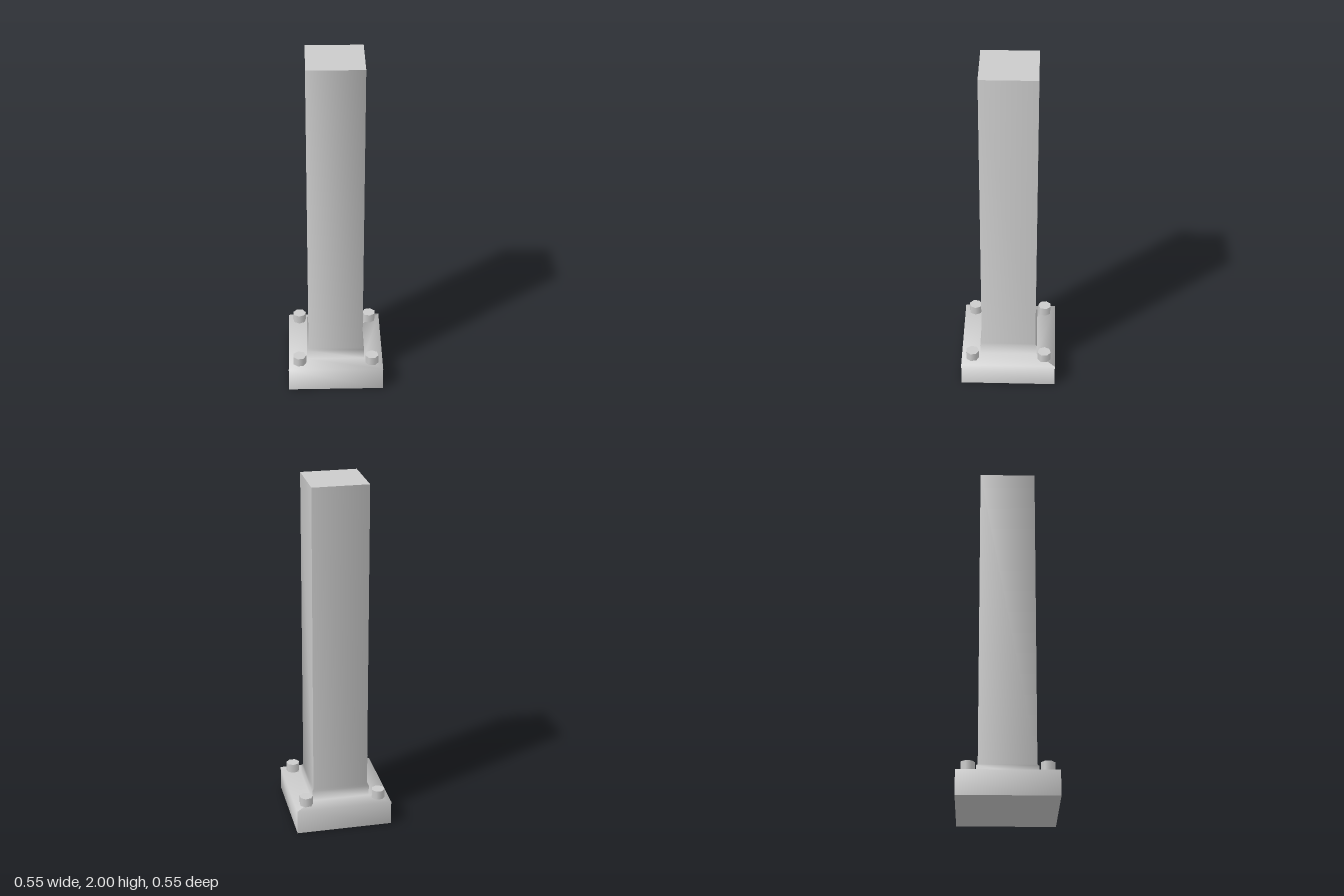
import * as THREE from 'three';

const material = new THREE.MeshStandardMaterial({ color: 0xcccccc });

// Square shell swept through [halfWidth, y] levels; smooth, with one open seam at the +x -z corner.
function squareShell(levels) {
  const corners = [[1, -1], [-1, -1], [-1, 1], [1, 1], [1, -1]];
  const positions = [], index = [];
  levels.forEach(([half, y], row) => {
    corners.forEach(([x, z], col) => {
      positions.push(x * half, y, z * half);
      if (row === 0 || col === 4) return;
      const a = (row - 1) * 5 + col, b = a + 1, c = a + 5, d = a + 6;
      index.push(a, b, c, b, d, c);
    });
  });
  const geometry = new THREE.BufferGeometry();
  geometry.setAttribute('position', new THREE.Float32BufferAttribute(positions, 3));
  geometry.setIndex(index);
  geometry.computeVertexNormals();
  return geometry;
}

function add(parent, name, geometry) {
  const mesh = new THREE.Mesh(geometry, material);
  mesh.name = name;
  parent.add(mesh);
  return mesh;
}

export function createModel() {
  const model = new THREE.Group();
  model.name = 'pillar';

  // Base plate, collar and post as one smooth-shaded shell
  add(model, 'postAndBase', squareShell([
    [0.275, 0], [0.275, 0.14], [0.167, 0.14], [0.167, 0.2], [0.158, 0.21], [0.158, 2],
  ]));

  // Flat end caps
  const top = add(model, 'postTop', new THREE.PlaneGeometry(0.316, 0.316));
  top.rotation.x = -Math.PI / 2;
  top.position.y = 2;
  const bottom = add(model, 'baseUnderside', new THREE.PlaneGeometry(0.55, 0.55));
  bottom.rotation.x = Math.PI / 2;

  // Seven-sided corner bolts, each turned a quarter from the last
  const boltGeometry = new THREE.CylinderGeometry(0.039, 0.039, 0.052, 7);
  boltGeometry.rotateY(THREE.MathUtils.degToRad(178));
  boltGeometry.translate(0.211, 0.174, 0.211);
  for (let i = 0; i < 4; i++) {
    add(model, 'bolt' + (i + 1), boltGeometry).rotation.y = i * Math.PI / 2;
  }
  return model;
}
